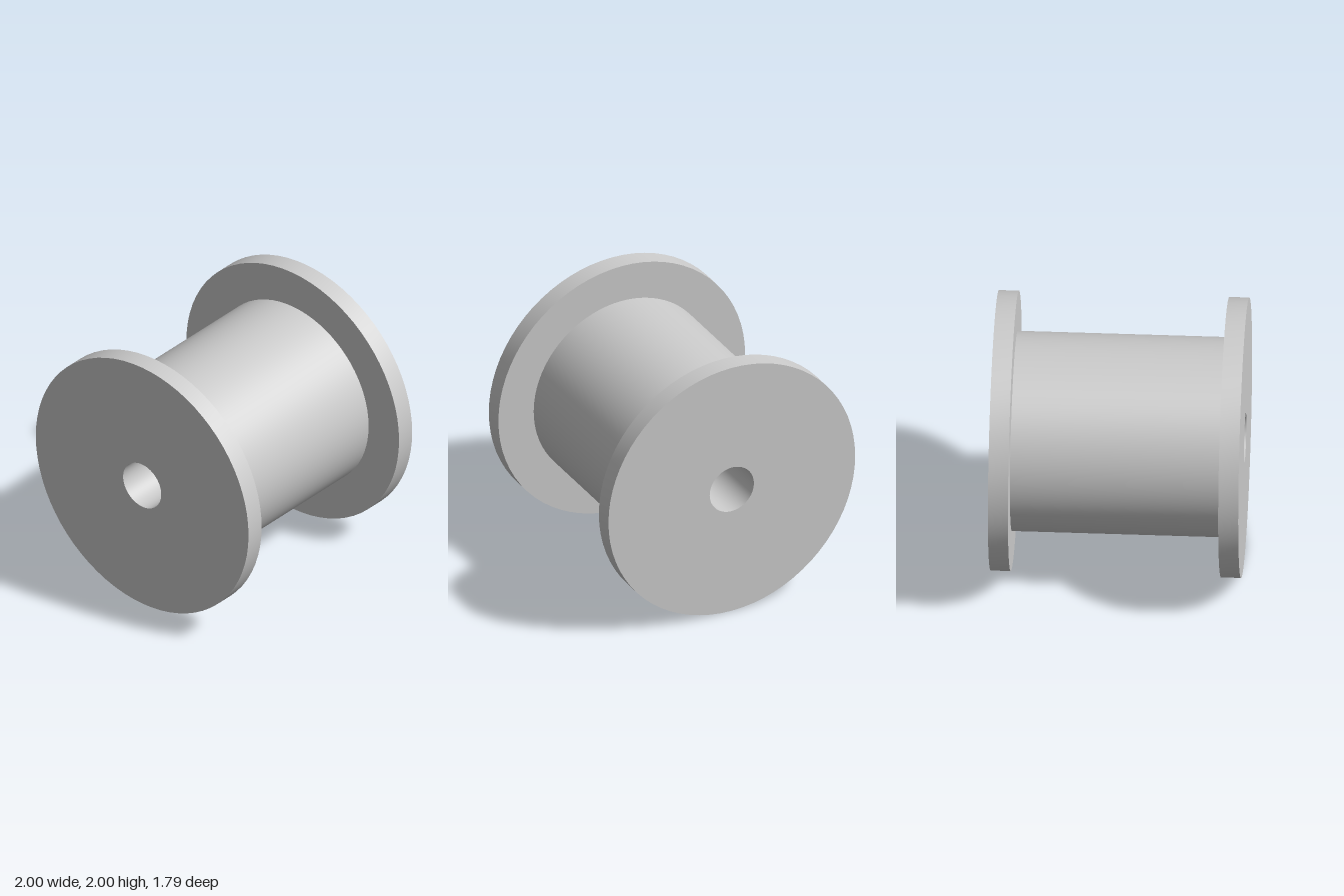
import * as THREE from 'three';
import { toCreasedNormals } from 'three/addons/utils/BufferGeometryUtils.js';

const SEGMENTS = 72;
const FLANGE_R = 1, BARREL_R = 0.714, BORE_R = 0.179;
const INNER_Z = 0.75, OUTER_Z = 0.893;

export function createModel() {
  const group = new THREE.Group();
  group.name = 'spool';
  const material = new THREE.MeshStandardMaterial({ color: 0xcccccc });

  // Revolves a [radius, distance along axis] profile; dir = 1 points to the front, -1 to the back
  function turned(name, profile, dir = 1) {
    const points = profile.map(([r, d]) => new THREE.Vector2(r, d));
    const lathe = new THREE.LatheGeometry(points, SEGMENTS);
    lathe.rotateX(dir * Math.PI / 2);
    const mesh = new THREE.Mesh(toCreasedNormals(lathe, Math.PI / 6), material);
    mesh.name = name;
    mesh.position.y = FLANGE_R;
    group.add(mesh);
  }

  // Barrel between the flanges
  turned('barrel', [[BARREL_R, -INNER_Z], [BARREL_R, INNER_Z]]);

  // Bore running through the whole spool, facing inwards
  turned('bore', [[BORE_R, OUTER_Z], [BORE_R, -OUTER_Z]]);

  // End flanges: inner face, rim, outer face down to the bore
  const flange = [[BARREL_R, INNER_Z], [FLANGE_R, INNER_Z], [FLANGE_R, OUTER_Z], [BORE_R, OUTER_Z]];
  turned('frontFlange', flange, 1);
  turned('backFlange', flange, -1);

  return group;
}
